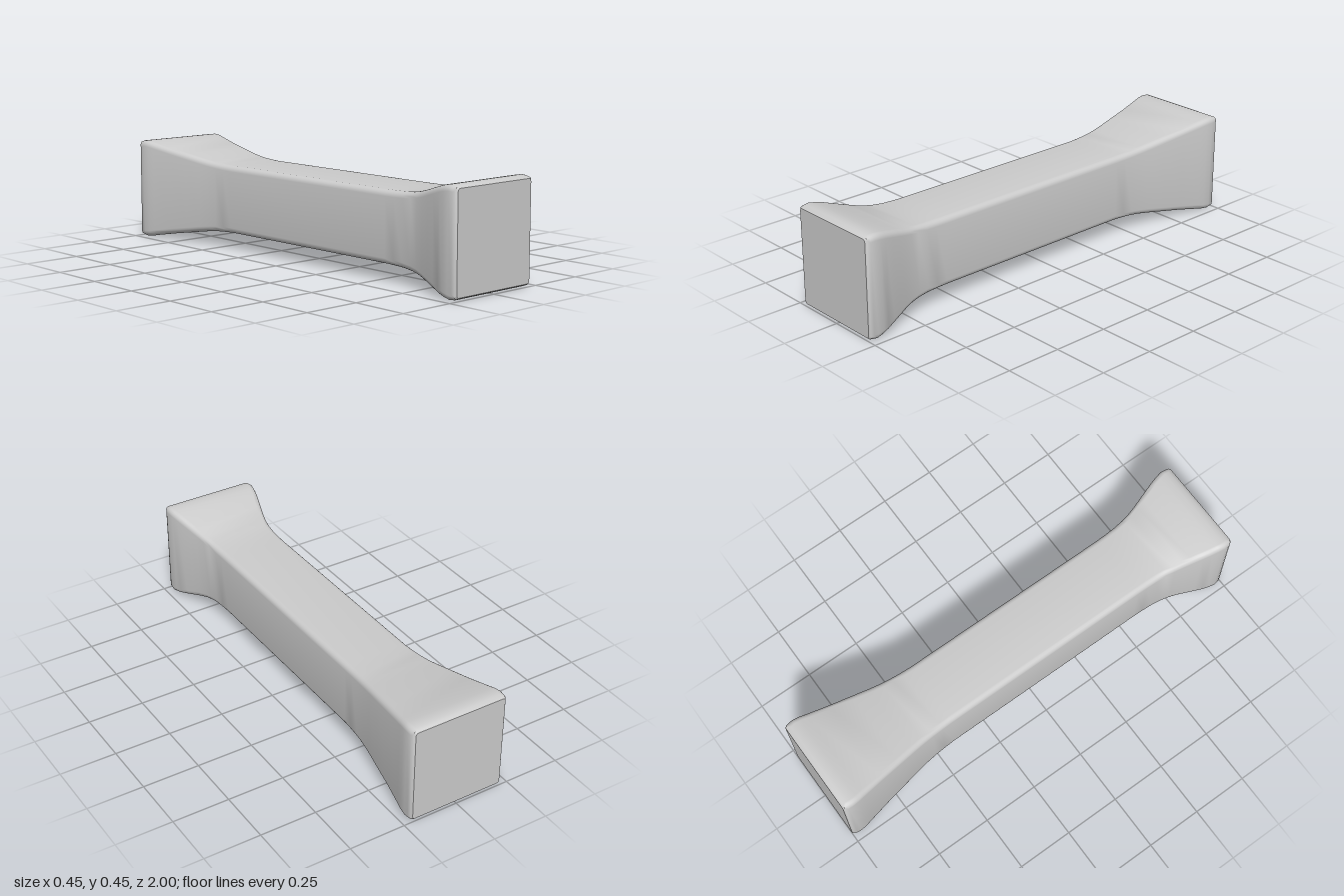
import * as THREE from 'three';
import { toCreasedNormals } from 'three/addons/utils/BufferGeometryUtils.js';

// Stations along the bar, back to front: [z, half width]
const STATIONS = [
  [-1, 0.211], [-0.993, 0.217], [-0.98, 0.222], [-0.96, 0.224], [-0.93, 0.221], [-0.9, 0.215],
  [-0.8, 0.197], [-0.7, 0.181], [-0.62, 0.168], [-0.57, 0.161], [-0.52, 0.156], [-0.47, 0.153],
  [-0.42, 0.151], [0.55, 0.151], [0.6, 0.152], [0.65, 0.154], [0.7, 0.159], [0.74, 0.166],
  [0.78, 0.176], [0.82, 0.188], [0.86, 0.2], [0.9, 0.212], [0.93, 0.219], [0.96, 0.224],
  [0.98, 0.222], [0.993, 0.217], [1, 0.211],
];
const CENTER_Y = 0.226;
const CORNER_STEPS = 5;

// Rounded square, counter-clockwise seen from the front
function section(half, radius) {
  const points = [];
  for (let corner = 0; corner < 4; corner++) {
    const mid = Math.PI / 4 + corner * Math.PI / 2;
    const cx = Math.sign(Math.cos(mid)) * (half - radius);
    const cy = Math.sign(Math.sin(mid)) * (half - radius);
    for (let k = 0; k <= CORNER_STEPS; k++) {
      const a = (corner + k / CORNER_STEPS) * Math.PI / 2;
      points.push([cx + radius * Math.cos(a), cy + radius * Math.sin(a)]);
    }
  }
  return points;
}

// Loft the sections into a closed solid
function loftBar() {
  const positions = [], index = [];
  const n = 4 * (CORNER_STEPS + 1);
  for (const [z, half] of STATIONS) {
    const radius = Math.abs(z) > 0.99 ? 0.013 : 0.025;
    for (const [x, y] of section(half, radius)) positions.push(x, y + CENTER_Y, z);
  }
  for (let i = 0; i < STATIONS.length - 1; i++) {
    for (let j = 0; j < n; j++) {
      const k = (j + 1) % n;
      const a = i * n + j, b = i * n + k, c = b + n, d = a + n;
      index.push(a, b, c, a, c, d);
    }
  }
  // Flat end faces
  const back = positions.length / 3, front = back + 1;
  positions.push(0, CENTER_Y, -1, 0, CENTER_Y, 1);
  const last = (STATIONS.length - 1) * n;
  for (let j = 0; j < n; j++) {
    const k = (j + 1) % n;
    index.push(back, k, j, front, last + j, last + k);
  }
  const geometry = new THREE.BufferGeometry();
  geometry.setAttribute('position', new THREE.Float32BufferAttribute(positions, 3));
  geometry.setIndex(index);
  return toCreasedNormals(geometry, 0.6);
}

export function createModel() {
  const group = new THREE.Group();
  group.name = 'flaredBar';
  const bar = new THREE.Mesh(loftBar(), new THREE.MeshStandardMaterial({ color: 0xcccccc }));
  bar.name = 'barWithFlaredEnds';
  group.add(bar);
  return group;
}
